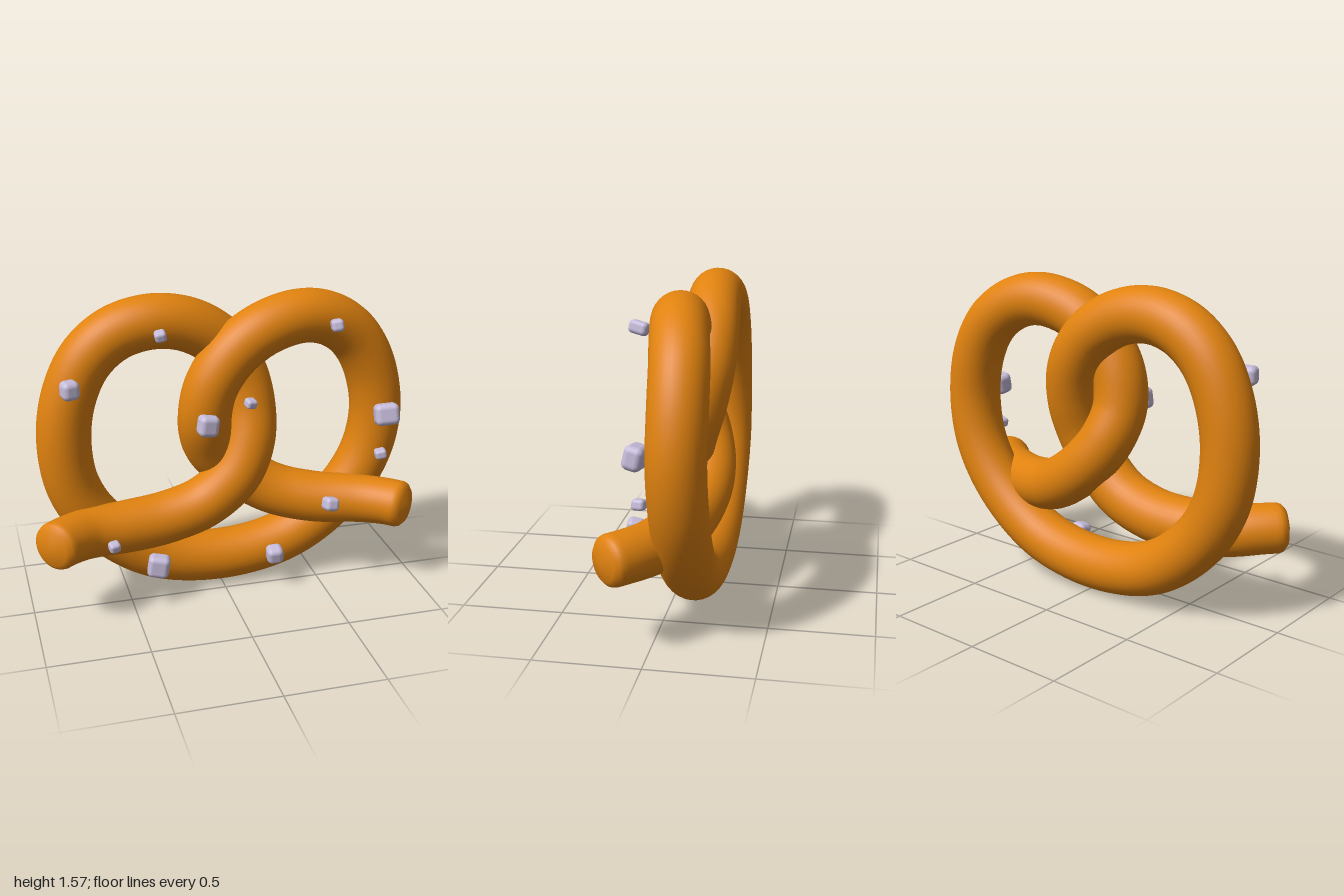
import * as THREE from 'three';
import { mergeVertices } from 'three/addons/utils/BufferGeometryUtils.js';
import { RoundedBoxGeometry } from 'three/addons/geometries/RoundedBoxGeometry.js';

// Centre line of the dough rope, from the right-hand tip round to the left-hand tip
const PATH = [
  [-0.925, 0.45, 0.2], [-0.83, 0.445, 0.115], [-0.7, 0.43, 0.03], [-0.5, 0.42, -0.015], [-0.3, 0.435, -0.035],
  [-0.1, 0.5, -0.035], [0.06, 0.64, -0.03], [0.135, 0.8, -0.06], [0.15, 0.97, -0.11],
  [0.11, 1.15, -0.145], [0, 1.31, -0.15], [-0.16, 1.41, -0.135], [-0.34, 1.44, -0.125],
  [-0.52, 1.395, -0.125], [-0.66, 1.28, -0.125], [-0.75, 1.1, -0.125], [-0.787, 0.87, -0.125],
  [-0.75, 0.61, -0.13], [-0.62, 0.395, -0.13], [-0.36, 0.2, -0.13], [0, 0.135, -0.13],
  [0.36, 0.2, -0.13], [0.63, 0.385, -0.13], [0.79, 0.62, -0.13], [0.84, 0.87, -0.125],
  [0.8, 1.11, -0.125], [0.7, 1.29, -0.115], [0.56, 1.395, -0.09], [0.4, 1.43, -0.065],
  [0.2, 1.385, -0.04], [0.04, 1.275, -0.03], [-0.065, 1.12, -0.03], [-0.095, 0.95, -0.05],
  [-0.06, 0.79, -0.11], [0.03, 0.665, -0.145], [0.15, 0.565, -0.145], [0.3, 0.485, -0.11],
  [0.5, 0.445, -0.05], [0.7, 0.445, 0.025], [0.83, 0.45, 0.11], [0.925, 0.45, 0.2],
];

// Salt grains: centre, then size
const SALT = [
  [-0.765, 1.19, 0.045, 0.085, 0.09, 0.085], [-0.325, 1.412, 0.025, 0.055, 0.05, 0.06],
  [0.53, 1.418, 0.095, 0.06, 0.06, 0.09], [-0.115, 0.967, 0.1, 0.1, 0.105, 0.085],
  [0.11, 1.045, 0.06, 0.055, 0.045, 0.055], [0.832, 0.913, 0.052, 0.125, 0.11, 0.09],
  [0.815, 0.693, 0.042, 0.06, 0.05, 0.06], [-0.608, 0.42, 0.188, 0.055, 0.05, 0.055],
  [0.52, 0.48, 0.125, 0.075, 0.07, 0.08], [-0.365, 0.207, 0.05, 0.11, 0.115, 0.085],
  [0.25, 0.19, 0.05, 0.085, 0.09, 0.085],
];

// Tube with slightly slimmer, blunt, round-edged tips
function ropeGeometry(curve, radius, rings, sides) {
  const geo = new THREE.TubeGeometry(curve, rings, 1, sides, false);
  const pos = geo.attributes.position;
  const length = curve.getLength();
  const v = new THREE.Vector3();
  for (let i = 0; i <= rings; i++) {
    const centre = curve.getPointAt(i / rings);
    const d = Math.min(i, rings - i) / rings * length;
    const edge = Math.max(0, 1 - d / 0.06);
    const slim = 0.9 + 0.1 * THREE.MathUtils.smoothstep(d, 0.05, 0.6);
    const r = d === 0 ? 0 : radius * slim * Math.sqrt(1 - edge * edge);
    for (let j = 0; j <= sides; j++) {
      const k = i * (sides + 1) + j;
      v.fromBufferAttribute(pos, k).sub(centre).multiplyScalar(r).add(centre);
      pos.setXYZ(k, v.x, v.y, v.z);
    }
  }
  geo.deleteAttribute('uv');
  geo.deleteAttribute('normal');
  const smooth = mergeVertices(geo, 1e-5);
  smooth.computeVertexNormals();
  return smooth;
}

export function createModel() {
  const model = new THREE.Group();
  model.name = 'pretzel';
  const crust = new THREE.MeshStandardMaterial({ color: 0xe0820f });
  crust.name = 'baked crust';
  const saltWhite = new THREE.MeshStandardMaterial({ color: 0xc6bcdb });
  saltWhite.name = 'salt';

  // Twisted dough
  const curve = new THREE.CatmullRomCurve3(PATH.map((p) => new THREE.Vector3(...p)));
  const dough = new THREE.Mesh(ropeGeometry(curve, 0.134, 420, 32), crust);
  dough.name = 'doughRope';
  model.add(dough);

  // Salt grains, each tilted a little differently
  const grains = new THREE.Group();
  grains.name = 'saltGrains';
  SALT.forEach(([x, y, z, w, h, d], i) => {
    const grain = new THREE.Mesh(new RoundedBoxGeometry(w, h, d, 3, Math.min(w, h, d) * 0.32), saltWhite);
    grain.name = 'saltGrain' + (i + 1);
    grain.position.set(x, y, z);
    grain.rotation.set(0.25 * Math.sin(i * 2.1), 0.25 * Math.cos(i * 1.7), 0.2 * Math.sin(i * 1.3));
    grains.add(grain);
  });
  model.add(grains);
  return model;
}
